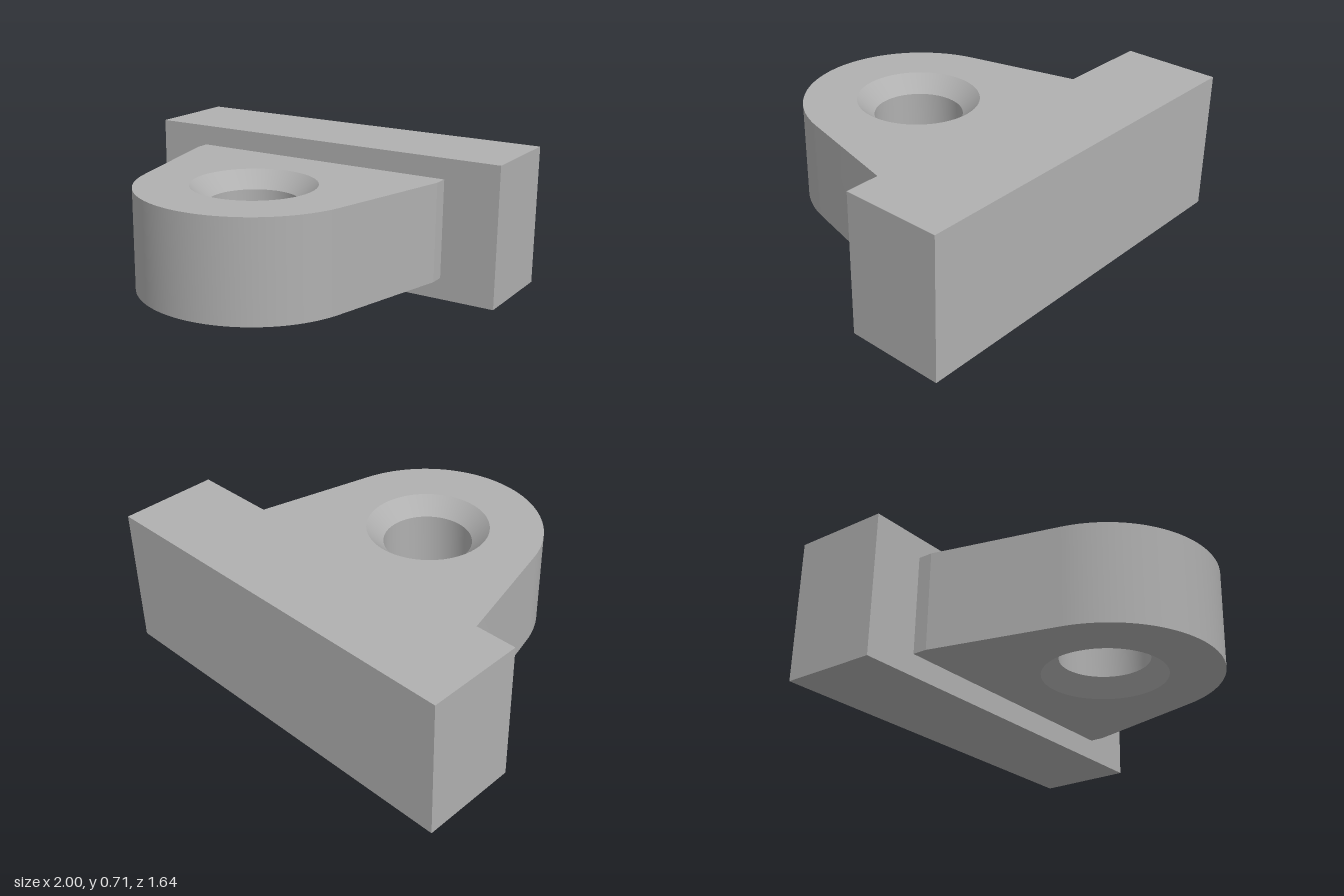
import * as THREE from 'three';
import { toCreasedNormals } from 'three/addons/utils/BufferGeometryUtils.js';

const BOTTOM = 0.11, TOP = 0.61;       // lug faces
const CENTER_Z = 0.247, RADIUS = 0.573; // rounded nose, shared with the bore
const BORE = 0.222, SINK = 0.307;      // bore and countersink radii
const HALF_W = 0.715, SHOULDER_Z = -0.25, PLATE_Z = -0.325;

// Lug outline in (x, z): short straight shoulders, tangent flanks, round nose
function lugOutline() {
  const dz = SHOULDER_Z - CENTER_Z;
  const a = Math.atan2(dz, HALF_W) + Math.acos(RADIUS / Math.hypot(HALF_W, dz));
  const shape = new THREE.Shape();
  shape.moveTo(HALF_W, PLATE_Z);
  shape.lineTo(HALF_W, SHOULDER_Z);
  shape.absarc(0, CENTER_Z, RADIUS, a, Math.PI - a, false);
  shape.lineTo(-HALF_W, SHOULDER_Z);
  shape.lineTo(-HALF_W, PLATE_Z);
  return shape;
}

// Upright wall following the outline
function wallGeometry(points) {
  const pos = [], index = [];
  points.forEach((p, i) => {
    pos.push(p.x, BOTTOM, p.y, p.x, TOP, p.y);
    if (i < points.length - 1) {
      const b = i * 2;
      index.push(b, b + 1, b + 3, b, b + 3, b + 2);
    }
  });
  const geo = new THREE.BufferGeometry();
  geo.setAttribute('position', new THREE.Float32BufferAttribute(pos, 3));
  geo.setIndex(index);
  return toCreasedNormals(geo, 0.2);
}

export function createModel() {
  const group = new THREE.Group();
  const gray = new THREE.MeshStandardMaterial({ color: 0xb0b0b0 });
  gray.name = 'plain gray';
  const add = (name, geometry) => {
    const mesh = new THREE.Mesh(geometry, gray);
    mesh.name = name;
    group.add(mesh);
    return mesh;
  };

  // Mounting plate at the back
  const depth = PLATE_Z + 0.82;
  add('mountingPlate', new THREE.BoxGeometry(2, 0.715, depth))
    .position.set(0, 0.3575, -0.82 + depth / 2);

  // Lug side wall
  const outline = lugOutline();
  add('lugWall', wallGeometry(outline.getPoints(32)));

  // Lug faces with the countersink opening
  const hole = new THREE.Path();
  hole.absarc(0, CENTER_Z, SINK, 0, Math.PI * 2, true);
  outline.holes.push(hole);
  const face = new THREE.ShapeGeometry(outline, 32).rotateX(Math.PI / 2);
  add('lugBottomFace', face).position.y = BOTTOM;
  add('lugTopFace', face.clone().rotateZ(Math.PI)).position.y = TOP;

  // Bore, countersunk from both sides
  const sink = SINK - BORE;
  const profile = [
    [SINK, TOP], [BORE, TOP - sink], [BORE, BOTTOM + sink], [SINK, BOTTOM],
  ].map(([r, y]) => new THREE.Vector2(r, y));
  add('countersunkBore', toCreasedNormals(new THREE.LatheGeometry(profile, 64), 0.5))
    .position.z = CENTER_Z;

  return group;
}
